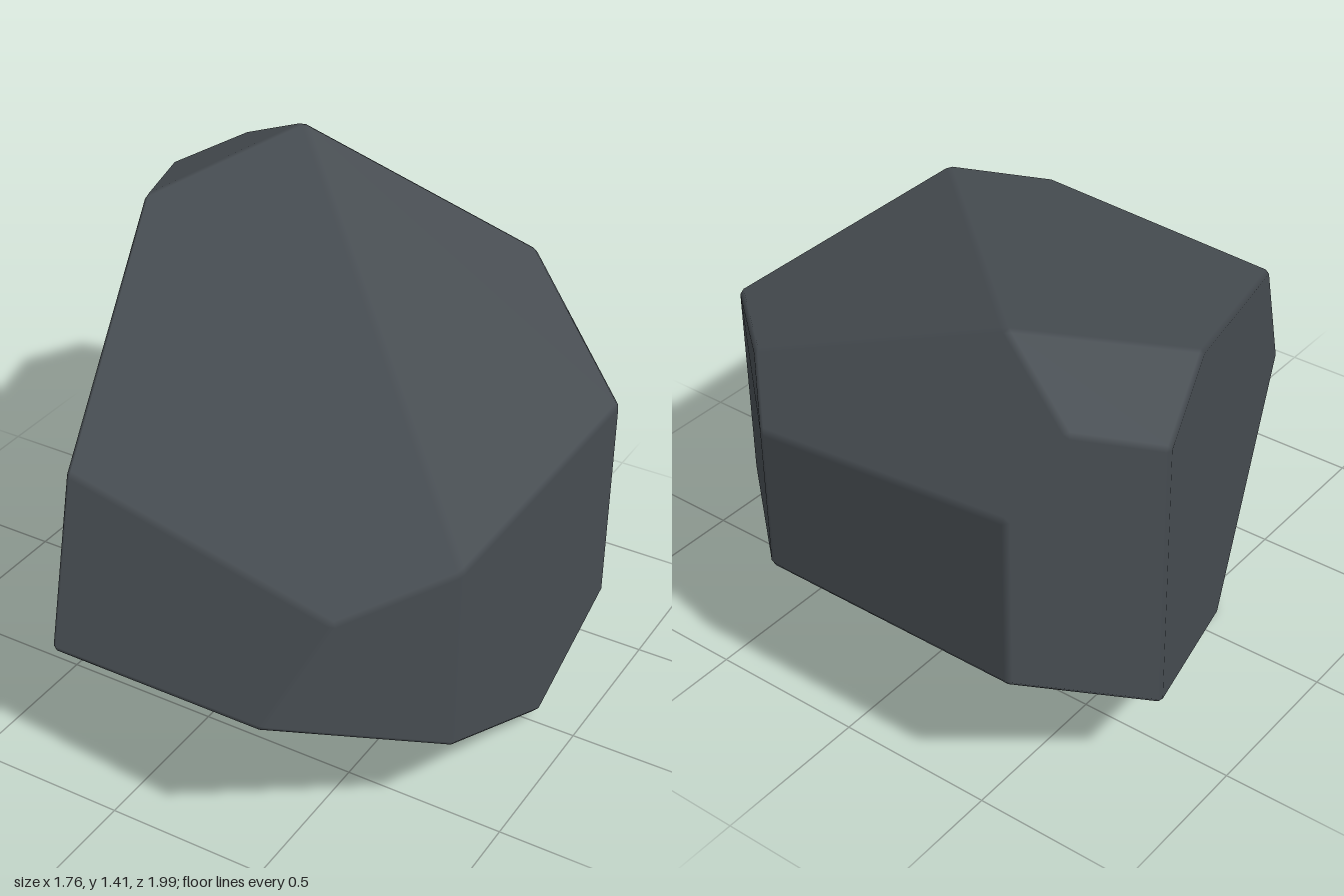
import * as THREE from 'three';

// Corners of the boulder
const CORNERS = [
  [-0.41, 1.425, -0.75], [-0.74, 1.26, -0.31], [-0.88, 1.2, -0.67], [-0.7, 1.28, -0.87],
  [-0.6, 1.04, -1], [0.26, 0.96, -1], [0.38, 1.12, -0.88], [0.88, 0.92, -0.44],
  [0.88, 0.92, 0.58], [0.64, 0.83, 0.85], [-0.34, 0.89, 0.69], [-0.26, 0.43, 0.91],
  [0.5, 0.52, 1], [0.88, 0.33, 0.58], [0.88, 0.05, 0], [-0.58, 0, 0.09],
  [-0.88, 0.34, -0.67], [-0.6, 0.49, -1], [0.26, 0.49, -1], [0.88, 0.24, -0.44],
].map((c) => new THREE.Vector3(...c));

// Facets as counter-clockwise corner loops
const FACETS = [
  [0, 1, 10, 9, 8], [0, 8, 7, 6],              // top, either side of the ridge
  [0, 6, 5, 4, 3], [0, 3, 2, 1],               // back and left slopes
  [10, 11, 12, 9], [8, 9, 12, 13],             // front and front corner
  [1, 2, 16, 15, 11, 10], [7, 8, 13, 14, 19],  // sides
  [2, 3, 4, 17, 16], [4, 5, 18, 17], [5, 6, 7, 19, 18], // back
  [11, 15, 14, 13, 12], [15, 16, 17, 18, 19, 14],       // underside
];

// Facets joined by narrow bevels whose normals blend between neighbours
function beveledSolid(corners, facets, width) {
  const positions = [], normals = [], index = [];
  const owner = new Map(); // directed edge -> facet
  const vertex = new Map(); // facet and corner -> vertex number
  const fan = (loop) => {
    for (let i = 1; i < loop.length - 1; i++) index.push(loop[0], loop[i], loop[i + 1]);
  };

  // Inset facets
  facets.forEach((loop, f) => {
    const n = loop.length;
    const normal = new THREE.Vector3();
    loop.forEach((a, i) => normal.add(corners[a].clone().cross(corners[loop[(i + 1) % n]])));
    normal.normalize();
    loop.forEach((a, i) => {
      const next = loop[(i + 1) % n], prev = loop[(i + n - 1) % n];
      const u = corners[next].clone().sub(corners[a]).normalize();
      const v = corners[prev].clone().sub(corners[a]).normalize();
      const sine = u.clone().cross(v).length();
      const p = corners[a].clone().addScaledVector(u.add(v), width / sine);
      vertex.set(`${f},${a}`, positions.length / 3);
      positions.push(p.x, p.y, p.z);
      normals.push(normal.x, normal.y, normal.z);
      owner.set(`${a},${next}`, f);
    });
    fan(loop.map((a) => vertex.get(`${f},${a}`)));
  });

  // Edge bevels
  for (const [key, f] of owner) {
    const [a, b] = key.split(',').map(Number);
    const g = owner.get(`${b},${a}`);
    if (a < b) fan([[f, b], [f, a], [g, a], [g, b]].map(([s, c]) => vertex.get(`${s},${c}`)));
  }

  // Corner caps
  corners.forEach((_, a) => {
    const start = facets.findIndex((loop) => loop.includes(a));
    const cap = [];
    let f = start;
    do {
      cap.push(vertex.get(`${f},${a}`));
      const loop = facets[f];
      const prev = loop[(loop.indexOf(a) + loop.length - 1) % loop.length];
      f = owner.get(`${a},${prev}`);
    } while (f !== start);
    fan(cap);
  });

  const geometry = new THREE.BufferGeometry();
  geometry.setAttribute('position', new THREE.Float32BufferAttribute(positions, 3));
  geometry.setAttribute('normal', new THREE.Float32BufferAttribute(normals, 3));
  geometry.setIndex(index);
  return geometry;
}

export function createModel() {
  const stone = new THREE.MeshStandardMaterial({ color: 0x474d52 });
  stone.name = 'darkStone';

  const boulder = new THREE.Mesh(beveledSolid(CORNERS, FACETS, 0.012), stone);
  boulder.name = 'boulder';

  const model = new THREE.Group();
  model.name = 'rock';
  model.add(boulder);
  return model;
}
